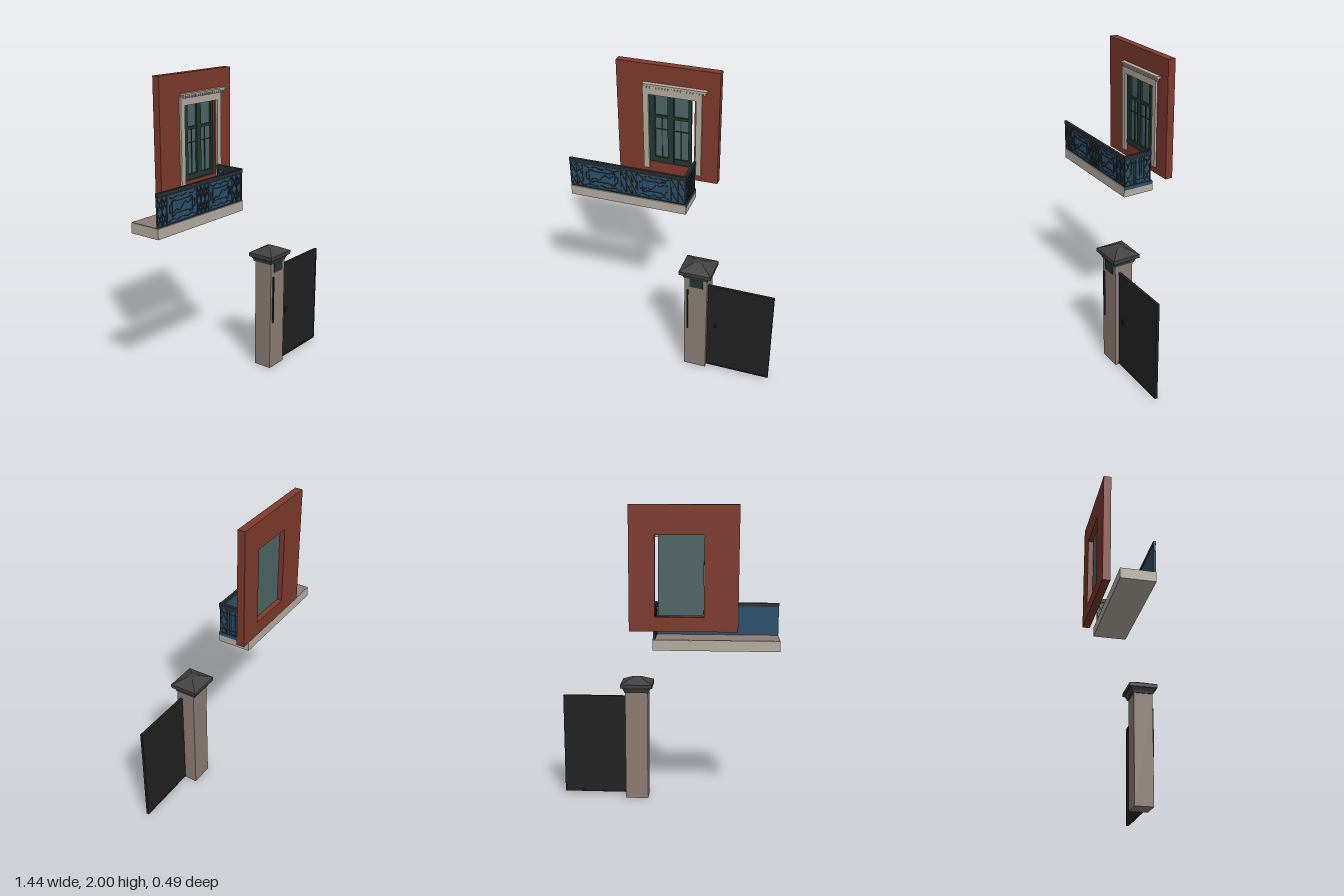
import * as THREE from 'three';

const mat = (name, color) => Object.assign(new THREE.MeshStandardMaterial({ color }), { name });

export function createModel() {
  const M = {
    wall: mat('brick red', 0x7f3a2d), cream: mat('cream plaster', 0xb5ada0),
    stone: mat('taupe stone', 0x8c7e75), blue: mat('railing blue', 0x2a506d),
    iron: mat('dark iron', 0x2b2f31), green: mat('window green', 0x1f3a30),
    glass: mat('window glass', 0x4e6666), cap: mat('cap grey', 0x414141),
    gate: mat('gate black', 0x222222),
  };
  const model = new THREE.Group();
  const group = (name, parent = model) => {
    const g = new THREE.Group();
    g.name = name;
    parent.add(g);
    return g;
  };
  const add = (parent, name, geo, material) => {
    const m = new THREE.Mesh(geo, material);
    m.name = name;
    parent.add(m);
    return m;
  };
  // box given by its two opposite corners
  const box = (parent, name, material, x0, x1, y0, y1, z0, z1) => {
    const m = add(parent, name, new THREE.BoxGeometry(x1 - x0, y1 - y0, z1 - z0), material);
    m.position.set((x0 + x1) / 2, (y0 + y1) / 2, (z0 + z1) / 2);
    return m;
  };

  // wall with the window opening
  const house = group('house');
  const s = new THREE.Shape([[-0.455, 1.23], [0.217, 1.23], [0.217, 2], [-0.455, 2]].map(p => new THREE.Vector2(...p)));
  s.holes.push(new THREE.Path([[-0.245, 1.32], [-0.245, 1.82], [0.058, 1.82], [0.058, 1.32]].map(p => new THREE.Vector2(...p))));
  add(house, 'wall', new THREE.ExtrudeGeometry(s, { depth: 0.05, bevelEnabled: false }), M.wall).position.z = -0.247;

  // window surround and cornice
  const trim = group('windowSurround', house);
  box(trim, 'leftJamb', M.cream, 0.07, 0.107, 1.275, 1.86, -0.198, -0.183);
  box(trim, 'rightJamb', M.cream, -0.28, -0.243, 1.275, 1.86, -0.198, -0.183);
  box(trim, 'lintel', M.cream, -0.28, 0.107, 1.803, 1.86, -0.198, -0.182);
  box(trim, 'cornice', M.cream, -0.265, 0.138, 1.862, 1.872, -0.198, -0.173);
  box(trim, 'corniceTop', M.cream, -0.275, 0.141, 1.87, 1.88, -0.198, -0.167);
  for (let x = -0.262; x < 0.12; x += 0.02) box(trim, 'dentil', M.cream, x, x + 0.012, 1.848, 1.863, -0.19, -0.175);

  // window
  const win = group('window', house);
  box(win, 'glass', M.glass, -0.243, 0.037, 1.325, 1.818, -0.216, -0.209);
  for (const [a, b] of [[-0.243, -0.204], [-0.119, -0.079], [0.018, 0.038]])
    box(win, 'stile', M.green, a, b, 1.325, 1.818, -0.209, -0.196);
  for (const [a, b] of [[1.325, 1.36], [1.645, 1.663], [1.803, 1.818]])
    box(win, 'rail', M.green, -0.243, 0.038, a, b, -0.209, -0.197);
  box(win, 'glazingBar', M.green, -0.243, 0.038, 1.558, 1.563, -0.209, -0.203);
  for (const x of [-0.16, -0.033]) box(win, 'glazingBar', M.green, x - 0.002, x + 0.002, 1.325, 1.645, -0.209, -0.203);

  // balcony slab
  const balcony = group('balcony');
  box(balcony, 'slab', M.cream, -0.72, 0.074, 1.1, 1.165, -0.197, 0.02);
  box(balcony, 'floor', M.stone, -0.717, 0.07, 1.163, 1.168, -0.196, 0.004);
  box(balcony, 'sideStrip', M.blue, 0.073, 0.076, 1.147, 1.17, -0.19, 0.02);

  // railing helpers: flat iron bars and scrolls in the plane of a panel
  const bar = (p, x0, y0, x1, y1, z, depth, w = 0.004) => {
    const m = add(p, 'bar', new THREE.BoxGeometry(Math.hypot(x1 - x0, y1 - y0), w, depth), M.iron);
    m.position.set((x0 + x1) / 2, (y0 + y1) / 2, z);
    m.rotation.z = Math.atan2(y1 - y0, x1 - x0);
  };
  const scroll = (p, pts, z) => {
    const curve = new THREE.CatmullRomCurve3(pts.map(([x, y]) => new THREE.Vector3(x, y, z)));
    add(p, 'scroll', new THREE.TubeGeometry(curve, 20, 0.0025, 5), M.iron);
  };
  const lo = 1.172, hi = 1.348;
  // a narrow bay of crossed bars between uprights
  const crossBay = (p, a, b, z, d, n) => {
    const w = (b - a) / n;
    for (let i = 0; i <= n; i++) bar(p, a + i * w, lo, a + i * w, hi, z, d, 0.005);
    for (let i = 0; i < n; i++) {
      const x0 = a + i * w, x1 = x0 + w, mid = (lo + hi) / 2;
      for (const [y0, y1] of [[lo, mid], [mid, hi]]) {
        bar(p, x0, y0, x1, y1, z, d, 0.003);
        bar(p, x0, y1, x1, y0, z, d, 0.003);
      }
    }
  };
  // a wide bay with a stepped inner frame and an S scroll
  const scrollBay = (p, a, b, z, d) => {
    const c = (a + b) / 2, h = (b - a) / 2;
    for (const k of [-1, 1]) {
      const X = t => c + k * t * h;
      bar(p, X(0.72), 1.215, X(0.72), 1.305, z, d);
      bar(p, X(0.72), 1.215, X(0.5), 1.215, z, d, 0.009);
      bar(p, X(0.72), 1.305, X(0.5), 1.305, z, d, 0.009);
      bar(p, X(0.88), 1.235, X(0.72), 1.235, z, d);
      bar(p, X(0.88), 1.285, X(0.72), 1.285, z, d);
      bar(p, X(0.88), 1.235, X(0.88), 1.285, z, d);
      for (const y of [-1, 1])
        scroll(p, [[0.98, 0.078], [0.7, 0.062], [0.35, 0.072], [0, 0.06]].map(([t, v]) => [X(t), 1.26 + y * v]), z);
    }
    scroll(p, [[-0.65, -0.03], [-0.4, -0.01], [-0.2, -0.022], [0, 0], [0.2, 0.022], [0.4, 0.01], [0.65, 0.03]]
      .map(([t, v]) => [c + t * h, 1.26 + v]), z);
    bar(p, a + h * 0.5, 1.225, b - h * 0.5, 1.225, z, d, 0.003);
    bar(p, a + h * 0.5, 1.3, b - h * 0.5, 1.3, z, d, 0.003);
  };

  // front railing
  const front = group('frontRailing', balcony);
  box(front, 'panel', M.blue, -0.719, 0.072, 1.165, 1.355, 0.006, 0.013);
  box(front, 'handrail', M.iron, -0.72, 0.076, 1.352, 1.376, 0.004, 0.02);
  crossBay(front, -0.717, -0.635, 0.015, 0.006, 2);
  scrollBay(front, -0.625, -0.375, 0.015, 0.006);
  crossBay(front, -0.367, -0.257, 0.015, 0.006, 3);
  scrollBay(front, -0.25, -0.035, 0.015, 0.006);
  crossBay(front, -0.028, 0.068, 0.015, 0.006, 2);
  bar(front, -0.719, lo, 0.072, lo, 0.015, 0.006);
  bar(front, -0.719, hi, 0.072, hi, 0.015, 0.006);

  // side railing, local x runs toward the wall
  const side = group('sideRailing', balcony);
  side.position.set(0.066, 0, 0.02);
  side.rotation.y = Math.PI / 2;
  box(side, 'panel', M.blue, 0.008, 0.2, 1.165, 1.355, -0.003, 0.003);
  box(side, 'handrail', M.iron, 0, 0.202, 1.352, 1.38, -0.008, 0.01);
  crossBay(side, 0.008, 0.055, 0, 0.014, 1);
  crossBay(side, 0.15, 0.197, 0, 0.014, 1);
  for (const x of [0.075, 0.09, 0.115, 0.13]) bar(side, x, lo, x, hi, 0, 0.014);
  for (const y of [lo, 1.2, 1.32, hi]) bar(side, 0.005, y, 0.2, y, 0, 0.014);

  // gate pillar with stepped cap
  const pillar = group('gatePillar');
  box(pillar, 'shaft', M.stone, 0.131, 0.284, 0, 0.756, 0.09, 0.216);
  const capPart = (name, y0, y1, w0, d0, w1, d1) => {
    const g = new THREE.BoxGeometry(1, y1 - y0, 1), p = g.attributes.position;
    for (let i = 0; i < p.count; i++) {
      const top = p.getY(i) > 0;
      p.setX(i, p.getX(i) * (top ? w1 : w0));
      p.setZ(i, p.getZ(i) * (top ? d1 : d0));
    }
    const flat = g.toNonIndexed();
    flat.computeVertexNormals();
    add(pillar, name, flat, M.cap).position.set(0.206, (y0 + y1) / 2, 0.149);
  };
  capPart('capCollar', 0.75, 0.765, 0.162, 0.14, 0.17, 0.146);
  capPart('capFlare', 0.765, 0.787, 0.17, 0.146, 0.196, 0.17);
  capPart('capSlab', 0.785, 0.81, 0.213, 0.187, 0.213, 0.187);
  capPart('capRoof', 0.81, 0.847, 0.213, 0.187, 0.055, 0.04);
  box(pillar, 'plaque', M.green, 0.166, 0.256, 0.686, 0.75, 0.215, 0.221);
  box(pillar, 'lightSlot', M.gate, 0.15, 0.158, 0.33, 0.657, 0.215, 0.226);

  // gate leaf with edge rails and handle
  const gate = group('gate');
  box(gate, 'leaf', M.gate, 0.284, 0.718, 0.012, 0.7, 0.177, 0.19);
  for (const y of [0.008, 0.692]) box(gate, 'edgeRail', M.gate, 0.284, 0.72, y, y + 0.011, 0.175, 0.193);
  box(gate, 'freeStile', M.gate, 0.71, 0.72, 0.01, 0.702, 0.175, 0.193);
  box(gate, 'handlePlate', M.gate, 0.334, 0.344, 0.338, 0.382, 0.19, 0.196);
  box(gate, 'handle', M.gate, 0.335, 0.35, 0.368, 0.376, 0.195, 0.206);
  return model;
}
